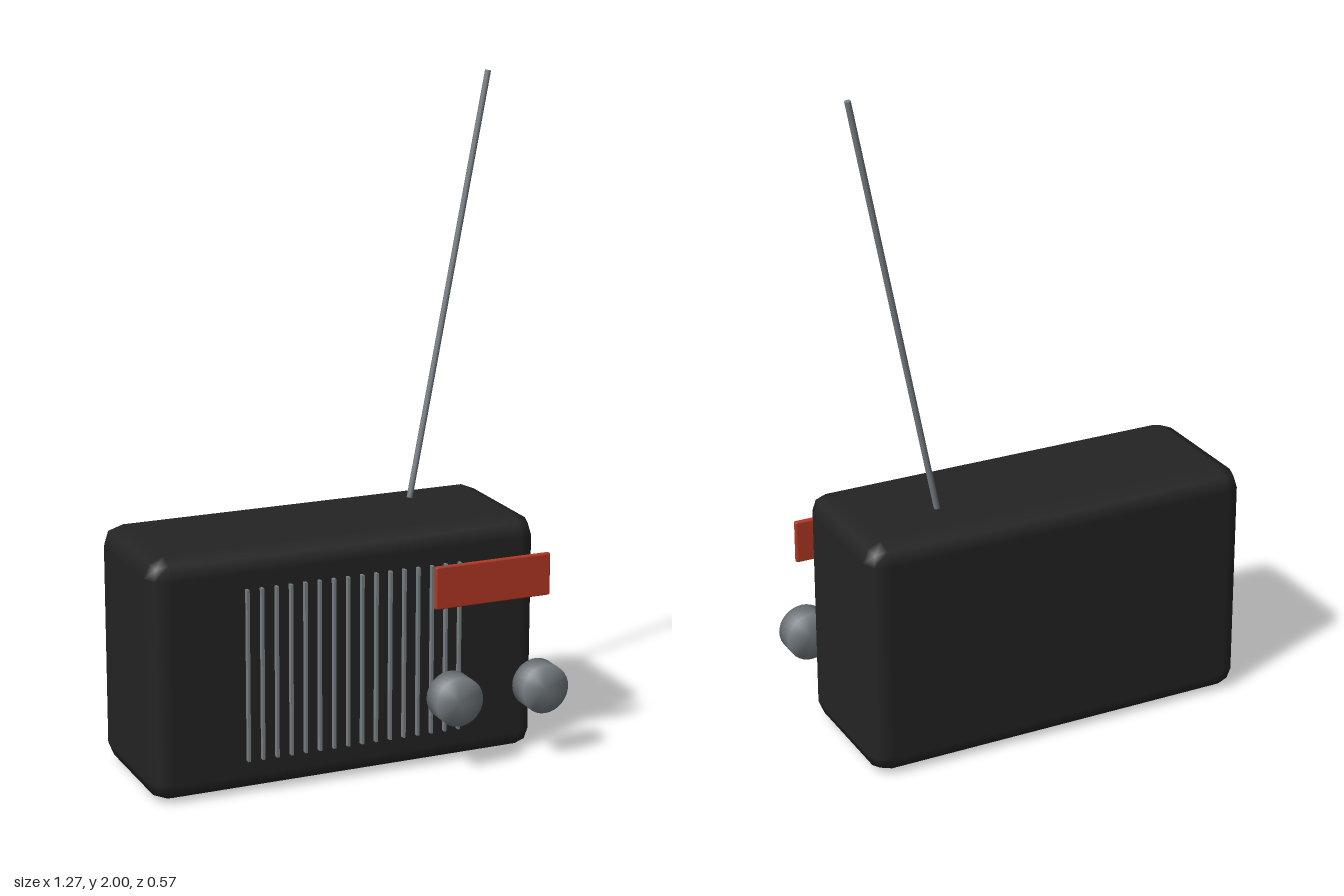
import * as THREE from 'three';
import { RoundedBoxGeometry } from 'three/addons/geometries/RoundedBoxGeometry.js';

const mat = (name, color) => {
  const m = new THREE.MeshStandardMaterial({ color });
  m.name = name;
  return m;
};

export function createModel() {
  const group = new THREE.Group();
  const black = mat('black casing', 0x242424);
  const grey = mat('grey metal', 0x788084);
  const red = mat('red dial', 0xb43824);

  const add = (name, geometry, material, x, y, z) => {
    const mesh = new THREE.Mesh(geometry, material);
    mesh.name = name;
    mesh.position.set(x, y, z);
    group.add(mesh);
    return mesh;
  };

  // Casing with softly bevelled edges
  add('casing', new RoundedBoxGeometry(1.215, 0.727, 0.465, 1, 0.06), black, -0.0275, 0.3635, -0.0525);

  // Speaker grille: a row of thin upright bars
  const bar = new THREE.BoxGeometry(0.008, 0.515, 0.015);
  for (let i = 0; i < 16; i++) {
    add('grilleBar' + (i + 1), bar, grey, -0.355 + i * 0.0443, 0.3675, 0.203);
  }

  // Tuning dial window
  add('tuningDial', new RoundedBoxGeometry(0.373, 0.13, 0.018, 1, 0.005), red, 0.4165, 0.555, 0.204);

  // Knobs: short discs with softened shading
  const knob = new THREE.LatheGeometry(
    [[0, 0], [0.075, 0], [0.075, 0.07], [0, 0.07]].map(([r, y]) => new THREE.Vector2(r, y)), 32);
  knob.rotateX(Math.PI / 2);
  add('volumeKnob', knob, grey, 0.275, 0.225, 0.216);
  add('tuningKnob', knob, grey, 0.556, 0.225, 0.216);

  // Antenna leaning outward and backward
  const from = new THREE.Vector3(0.298, 0.737, -0.122);
  const to = new THREE.Vector3(0.577, 1.998, -0.194);
  const dir = to.clone().sub(from);
  const mid = from.clone().lerp(to, 0.5);
  const antenna = add('antenna', new THREE.CylinderGeometry(0.009, 0.009, dir.length(), 12), grey, mid.x, mid.y, mid.z);
  antenna.quaternion.setFromUnitVectors(new THREE.Vector3(0, 1, 0), dir.normalize());

  return group;
}
